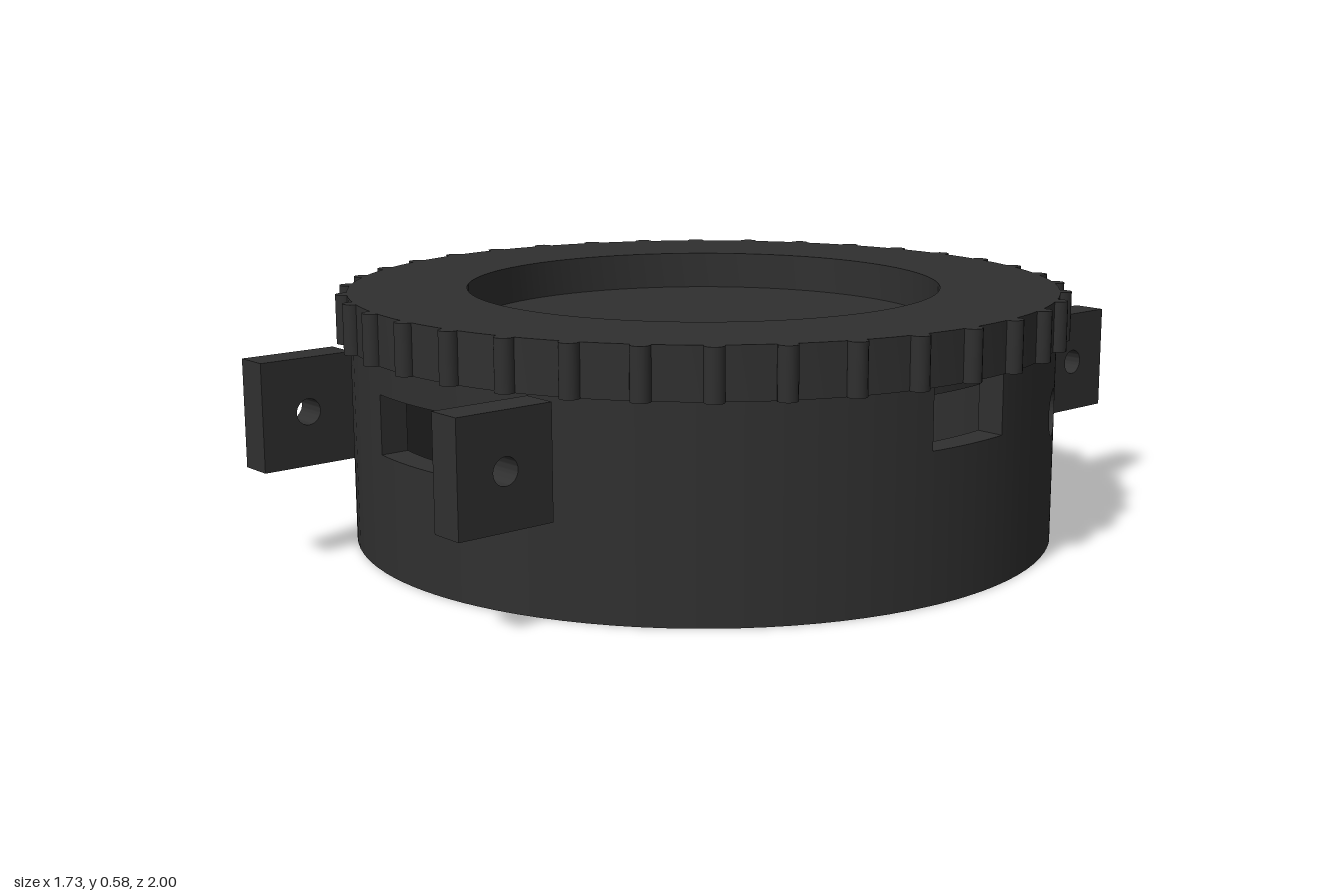
import * as THREE from 'three';
import { toCreasedNormals } from 'three/addons/utils/BufferGeometryUtils.js';

const OUTER = 0.833, INNER = 0.767, WALL_TOP = 0.47, LID_TOP = 0.585;

// Openings in the wall, ordered by angle: centre angle, tangential range, height range
const OPENINGS = [
  { c: -0.569, t0: -0.055, t1: 0.055, y: 0.32, r: 0.055 },              // round port
  { c: 0, t0: -0.125, t1: 0.098, lo: 0.335, hi: WALL_TOP },             // left slot
  { c: Math.PI / 2, t0: -0.195, t1: 0.135, lo: 0.27, hi: 0.405 },       // front window
  { c: Math.PI, t0: -0.2, t1: 0.212, lo: 0.3, hi: WALL_TOP },           // right slot
];

// One vertical cut through the wall: outer angle, inner angle and the gap in height
function openingColumn(o, f) {
  const t = o.r ? -o.r * Math.cos(Math.PI * f) : o.t0 + (o.t1 - o.t0) * f;
  const h = o.r ? Math.sqrt(Math.max(0, o.r * o.r - t * t)) : 0;
  return {
    ao: o.c + Math.asin(t / OUTER),
    ai: o.c + Math.asin(t / INNER),
    lo: o.r ? o.y - h : o.lo,
    hi: o.r ? o.y + h : o.hi,
  };
}

function wallGeometry() {
  const pos = [], nor = [];
  const point = (a, r, y) => new THREE.Vector3(r * Math.cos(a), y, r * Math.sin(a));
  const radial = (a, s) => new THREE.Vector3(s * Math.cos(a), 0, s * Math.sin(a));

  // Adds a quad, turned so that it faces along its normals
  function quad(p, n) {
    const face = p[2].clone().sub(p[0]).cross(p[3].clone().sub(p[1]));
    const order = face.dot(n[0]) > 0 ? [0, 1, 2, 0, 2, 3] : [0, 2, 1, 0, 3, 2];
    for (const i of order) {
      pos.push(...p[i].toArray());
      nor.push(...n[i].toArray());
    }
  }
  function flat(p, toward) {
    const n = p[2].clone().sub(p[0]).cross(p[3].clone().sub(p[1])).normalize();
    if (n.dot(toward) < 0) n.negate();
    quad(p, [n, n, n, n]);
  }
  // Solid piece of wall between two cuts, y ranges given at each cut
  function band(A, B, a0, a1, b0, b1) {
    if (a1 - a0 + b1 - b0 < 1e-6) return;
    for (const [key, r, s] of [['ao', OUTER, 1], ['ai', INNER, -1]]) {
      const na = radial(A[key], s), nb = radial(B[key], s);
      quad([point(A[key], r, a0), point(B[key], r, b0), point(B[key], r, b1), point(A[key], r, a1)],
        [na, nb, nb, na]);
    }
    for (const [ya, yb, s] of [[a0, b0, -1], [a1, b1, 1]]) {
      flat([point(A.ao, OUTER, ya), point(B.ao, OUTER, yb), point(B.ai, INNER, yb), point(A.ai, INNER, ya)],
        new THREE.Vector3(0, s, 0));
    }
  }
  // Upright side of a rectangular opening
  function jamb(C, s) {
    flat([point(C.ao, OUTER, C.lo), point(C.ai, INNER, C.lo), point(C.ai, INNER, C.hi), point(C.ao, OUTER, C.hi)],
      new THREE.Vector3(-s * Math.sin(C.ao), 0, s * Math.cos(C.ao)));
  }

  OPENINGS.forEach((o, i) => {
    const steps = o.r ? 20 : 8;
    for (let k = 0; k < steps; k++) {
      const A = openingColumn(o, k / steps), B = openingColumn(o, (k + 1) / steps);
      band(A, B, 0, A.lo, 0, B.lo);
      band(A, B, A.hi, WALL_TOP, B.hi, WALL_TOP);
    }
    const start = openingColumn(o, 0), end = openingColumn(o, 1);
    if (!o.r) {
      jamb(start, 1);
      jamb(end, -1);
    }
    // Plain wall on to the next opening
    const next = openingColumn(OPENINGS[(i + 1) % OPENINGS.length], 0);
    const turn = i === OPENINGS.length - 1 ? 2 * Math.PI : 0;
    const n = Math.ceil((next.ao + turn - end.ao) / (Math.PI / 48));
    const at = (f) => ({
      ao: THREE.MathUtils.lerp(end.ao, next.ao + turn, f),
      ai: THREE.MathUtils.lerp(end.ai, next.ai + turn, f),
    });
    for (let k = 0; k < n; k++) band(at(k / n), at((k + 1) / n), 0, WALL_TOP, 0, WALL_TOP);
  });

  const g = new THREE.BufferGeometry();
  g.setAttribute('position', new THREE.Float32BufferAttribute(pos, 3));
  g.setAttribute('normal', new THREE.Float32BufferAttribute(nor, 3));
  return g;
}

export function createModel() {
  const model = new THREE.Group();
  model.name = 'roundEnclosure';
  const black = new THREE.MeshStandardMaterial({ color: 0x303030 });
  black.name = 'matteBlack';

  function add(geometry, name, parent = model) {
    const mesh = new THREE.Mesh(geometry, black);
    mesh.name = name;
    parent.add(mesh);
    return mesh;
  }

  // Hollow body: pierced wall and floor
  add(wallGeometry(), 'bodyWall');
  add(new THREE.CylinderGeometry(INNER, INNER, 0.067, 96), 'bodyFloor').position.y = 0.0335;

  // Lid with a plug below and a round recess on top
  const lid = new THREE.Group();
  lid.name = 'lid';
  model.add(lid);
  const profile = [
    [0, 0.435], [0.765, 0.435], [0.765, WALL_TOP], [0.838, WALL_TOP],
    [0.838, LID_TOP], [0.56, LID_TOP], [0.56, 0.495], [0, 0.495],
  ].map(([x, y]) => new THREE.Vector2(x, y));
  add(toCreasedNormals(new THREE.LatheGeometry(profile, 96), 0.5), 'lidDisc', lid);

  // Grip ribs around the lid
  const height = LID_TOP - WALL_TOP;
  const ribGeometry = new THREE.CylinderGeometry(0.022, 0.022, height, 16);
  for (let i = 0; i < 36; i++) {
    const a = (i * Math.PI) / 18;
    add(ribGeometry, 'gripRib', lid)
      .position.set(0.842 * Math.cos(a), WALL_TOP + height / 2, 0.842 * Math.sin(a));
  }

  // Four mounting lugs with pin holes
  const plate = new THREE.Shape([[-0.115, 0.22], [0.115, 0.22], [0.115, 0.468], [-0.115, 0.468]]
    .map(([x, y]) => new THREE.Vector2(x, y)));
  plate.holes.push(new THREE.Path().absarc(0, 0.344, 0.03, 0, Math.PI * 2, true));
  const lugGeometry = toCreasedNormals(
    new THREE.ExtrudeGeometry(plate, { depth: 0.082, bevelEnabled: false, curveSegments: 24 }), 0.5);
  for (const sx of [-1, 1]) {
    for (const sz of [-1, 1]) {
      const lug = add(lugGeometry, 'mountingLug');
      lug.rotation.y = -Math.PI / 2;
      lug.position.set(sx * 0.375 + 0.041, 0, sz * 0.885);
    }
  }
  return model;
}
